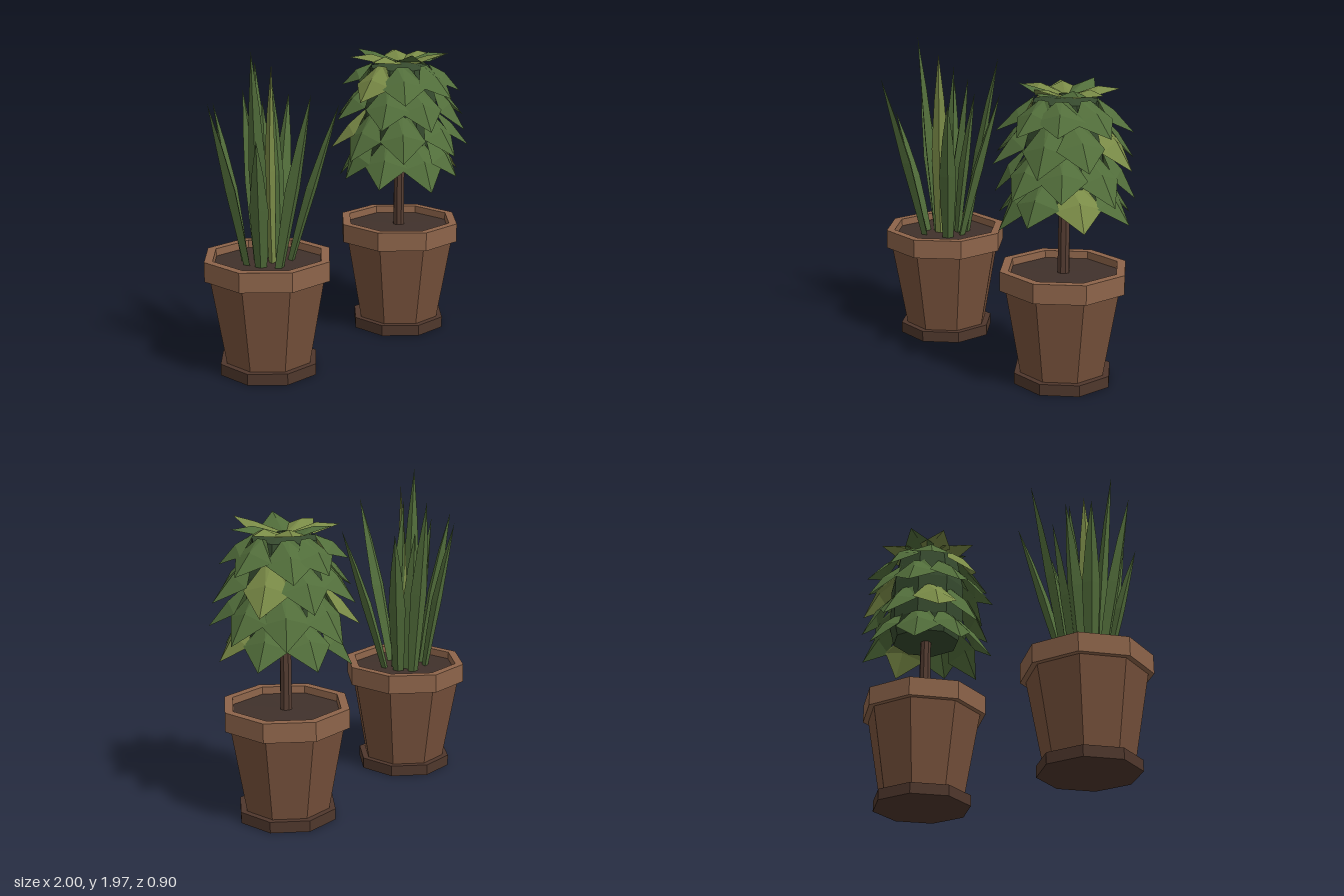
import * as THREE from 'three';
import { mergeGeometries } from 'three/addons/utils/BufferGeometryUtils.js';

const V = (x, y, z) => new THREE.Vector3(x, y, z);
const mat = (color, side = THREE.FrontSide) =>
  new THREE.MeshStandardMaterial({ color, flatShading: true, side });
const TERRACOTTA = mat(0x78523c), RIM = mat(0x8d644a), SAUCER = mat(0x4f372c);
const SOIL = mat(0x40312b), BARK = mat(0x553d32), CORE = mat(0x364a2e);
const GREENS = [mat(0x526e3b, THREE.DoubleSide), mat(0x7a8b47, THREE.DoubleSide)];

function addMesh(parent, name, geometry, material) {
  const mesh = new THREE.Mesh(geometry, material);
  mesh.name = name;
  parent.add(mesh);
  return mesh;
}

// Eight-sided turned shape; radii are given across the flats, flats face the axes
function octagon(profile) {
  const k = 1 / Math.cos(Math.PI / 8);
  const geo = new THREE.LatheGeometry(profile.map(([r, y]) => new THREE.Vector2(r * k, y)), 8, Math.PI / 8);
  return geo.toNonIndexed();
}

// Faceted skin through cross-sections that all have the same number of points
function skin(sections) {
  const pos = [];
  const tri = (...pts) => pts.forEach(p => pos.push(p.x, p.y, p.z));
  for (let i = 0; i < sections.length - 1; i++) {
    const a = sections[i], b = sections[i + 1];
    for (let j = 0; j < a.length - 1; j++) {
      tri(a[j], a[j + 1], b[j + 1]);
      tri(a[j], b[j + 1], b[j]);
    }
  }
  const geo = new THREE.BufferGeometry();
  geo.setAttribute('position', new THREE.Float32BufferAttribute(pos, 3));
  geo.computeVertexNormals();
  return geo;
}

function makePot(name) {
  const pot = new THREE.Group();
  pot.name = name;
  addMesh(pot, 'saucer', octagon([[0, 0], [0.287, 0], [0.287, 0.07], [0, 0.07]]), SAUCER);
  addMesh(pot, 'potBody', octagon([[0.25, 0.07], [0.337, 0.6]]), TERRACOTTA);
  addMesh(pot, 'potRim', octagon([[0.33, 0.6], [0.37, 0.6], [0.37, 0.72], [0.32, 0.72], [0.315, 0.64]]), RIM);
  addMesh(pot, 'soil', octagon([[0.318, 0.675], [0, 0.685]]), SOIL);
  return pot;
}

// Long spear-like blade with a diamond cross-section
function blade(base, tip, width) {
  const out = V(tip.x - base.x, 0, tip.z - base.z).normalize();
  const side = V(out.z, 0, -out.x);
  const rows = [[0, 0.62], [0.25, 0.85], [0.48, 1], [0.75, 0.6], [1, 0]];
  return skin(rows.map(([t, w]) => {
    const p = base.clone().lerp(tip, t).addScaledVector(out, -0.012 * Math.sin(Math.PI * t));
    const s = side.clone().multiplyScalar(w * width / 2);
    const d = out.clone().multiplyScalar(w * width * 0.3);
    const right = p.clone().sub(s);
    return [right, p.clone().add(d), p.clone().add(s), p.clone().sub(d), right];
  }));
}

// Broad kite leaf at an angle around the stem; points are [radius, height]
function leaf(angle, root, mid, tip, halfWidth, fold) {
  const at = ([r, y], w) =>
    V(Math.sin(angle) * r + Math.cos(angle) * w, y, Math.cos(angle) * r - Math.sin(angle) * w);
  const row = (p, w, drop) => {
    const edge = [p[0] - drop * 0.7, p[1] - drop];
    return [at(edge, -w), at(p, 0), at(edge, w)];
  };
  return skin([row(root, halfWidth * 0.25, 0), row(mid, halfWidth, fold), row(tip, 0, 0)]);
}

function addFoliage(parent, name, sets) {
  sets.forEach((geos, i) => addMesh(parent, name + (i ? 'Light' : 'Dark'), mergeGeometries(geos), GREENS[i]));
}

export function createModel() {
  const model = new THREE.Group();
  model.name = 'pottedPlants';
  let seed = 7;
  const jitter = a => {
    seed = (seed * 16807) % 2147483647;
    return (seed / 2147483647 - 0.5) * 2 * a;
  };

  // Plant with upright blades: base x, z, tip x, y, z, colour index
  const bladePlant = makePot('bladePlant');
  bladePlant.position.set(-0.627, 0, -0.005);
  const blades = [
    [-0.13, -0.04, -0.373, 1.67, -0.085, 0],
    [-0.11, 0.06, -0.265, 1.48, 0.2, 0],
    [-0.04, 0.14, -0.07, 1.75, 0.445, 0],
    [0.12, 0.07, 0.363, 1.62, 0.245, 0],
    [0.12, -0.04, 0.358, 1.64, -0.18, 0],
    [0.07, -0.12, 0.19, 1.84, -0.3, 0],
    [-0.09, -0.1, -0.2, 1.64, -0.24, 0],
    [-0.01, -0.07, 0.0, 1.7, -0.2, 0],
    [0.05, -0.06, 0.12, 1.62, -0.16, 0],
    [-0.07, 0.02, -0.18, 1.97, 0.075, 0],
    [0.0, 0.04, 0.005, 1.88, 0.045, 1],
    [0.06, 0.03, 0.07, 1.8, -0.03, 0],
  ];
  const bladeSets = [[], []];
  for (const [bx, bz, tx, ty, tz, c] of blades)
    bladeSets[c].push(blade(V(bx, 0.66, bz), V(tx, ty, tz), 0.11));
  addFoliage(bladePlant, 'blades', bladeSets);
  model.add(bladePlant);

  // Small tree with a leafy crown
  const tree = makePot('leafyTree');
  tree.position.set(0.557, 0, -0.005);
  const trunk = addMesh(tree, 'trunk', new THREE.CylinderGeometry(0.034, 0.038, 0.55, 8), BARK);
  trunk.position.y = 0.93;
  trunk.rotation.y = Math.PI / 8;
  addMesh(tree, 'crownCore',
    octagon([[0, 1.13], [0.2, 1.13], [0.225, 1.25], [0.225, 1.52], [0.185, 1.73], [0, 1.77]]), CORE);

  // Drooping tiers: tip height, tip radius, shoulder rise and radius, root rise and radius
  const leafSets = [[], []];
  const tiers = [
    [1.01, 0.415, 0.165, 0.325, 0.28, 0.2],
    [1.18, 0.43, 0.165, 0.335, 0.28, 0.21],
    [1.375, 0.435, 0.155, 0.33, 0.26, 0.21],
    [1.57, 0.39, 0.12, 0.285, 0.18, 0.18],
  ];
  tiers.forEach(([y, r, midRise, midR, rootRise, rootR], t) => {
    for (let i = 0; i < 8; i++) {
      const a = ((i + ((t + 1) % 2) / 2) / 8) * Math.PI * 2 + jitter(0.1);
      const dy = jitter(0.04), tr = r + jitter(0.025);
      const light = (i * 3 + t * 2) % 7 === 3 ? 1 : 0;
      leafSets[light].push(leaf(a, [rootR, y + rootRise],
        [midR, y + midRise + dy * 0.5], [tr, y + dy], 0.145, 0.045));
    }
  });
  // Shallow rosette on top
  for (let i = 0; i < 8; i++) {
    const a = (i / 8) * Math.PI * 2 + 0.2 + jitter(0.1);
    leafSets[i % 3 === 1 ? 0 : 1].push(
      leaf(a, [0.04, 1.765], [0.19, 1.815], [0.31 + jitter(0.03), 1.815 + jitter(0.03)], 0.105, 0.045));
  }
  addFoliage(tree, 'leaves', leafSets);
  model.add(tree);
  return model;
}
